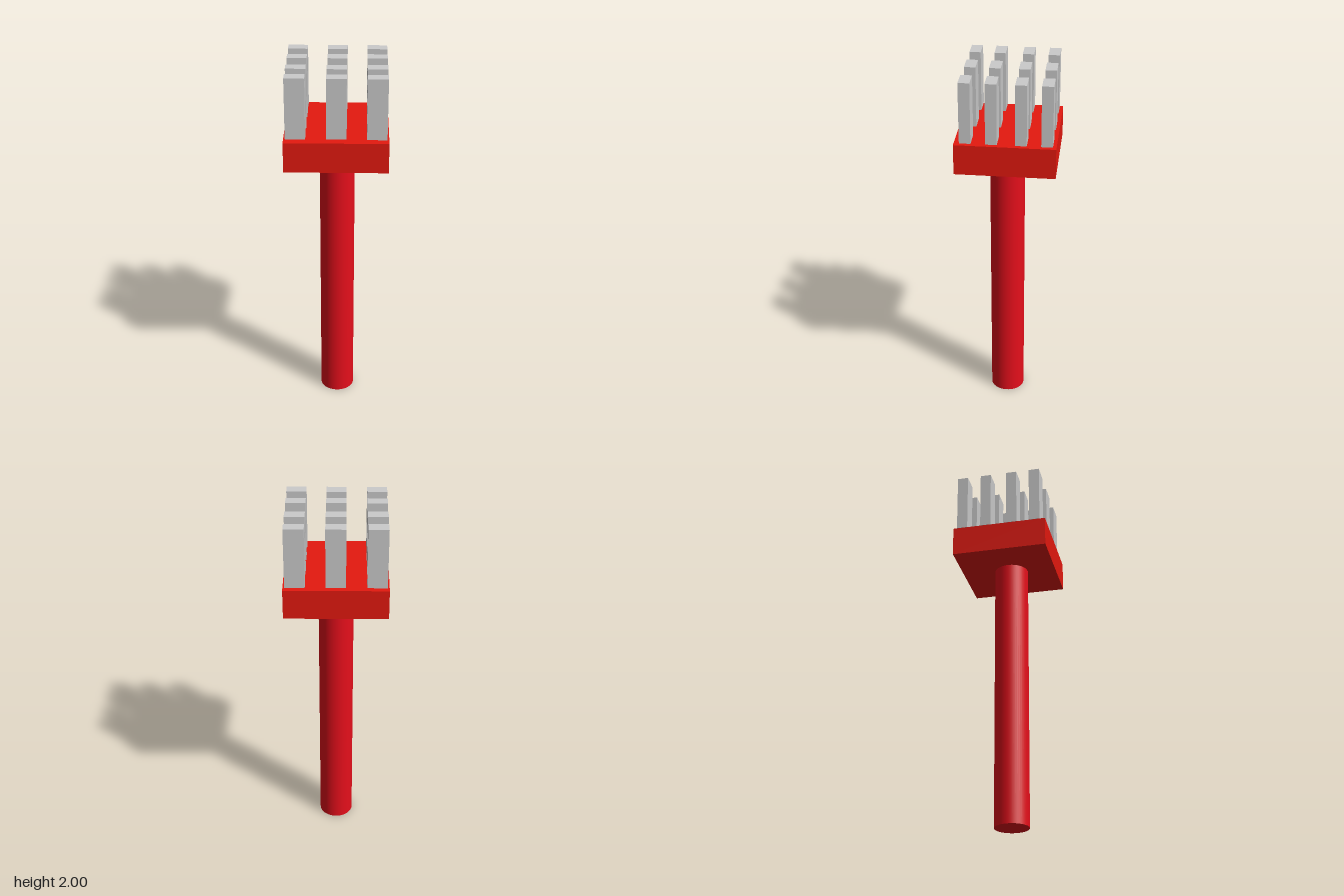
import * as THREE from 'three';

const headRed = new THREE.MeshStandardMaterial({ color: 0xe5190f });
const handleRed = new THREE.MeshStandardMaterial({ color: 0xe50f1b });
const grey = new THREE.MeshStandardMaterial({ color: 0xcccccc });

function addPart(parent, name, geometry, material, x, y, z) {
  const mesh = new THREE.Mesh(geometry, material);
  mesh.name = name;
  mesh.position.set(x, y, z);
  parent.add(mesh);
}

export function createModel() {
  const model = new THREE.Group();
  model.name = 'brush';

  // Round handle, slightly forward of the head's centre
  addPart(model, 'handle', new THREE.CylinderGeometry(0.093, 0.093, 1.498, 48), handleRed, 0.002, 0.749, 0.012);

  // Flat block that carries the bristles
  addPart(model, 'head', new THREE.BoxGeometry(0.538, 0.164, 0.522), headRed, 0, 1.584, 0);

  // Three columns of four bristles, with slightly uneven spacing
  const bristles = new THREE.Group();
  bristles.name = 'bristles';
  model.add(bristles);
  const bristle = new THREE.BoxGeometry(0.103, 0.327, 0.059);
  const columns = [
    { x: -0.208, rows: [-0.214, -0.08, 0.068, 0.199] },
    { x: 0.001, rows: [-0.214, -0.08, 0.071, 0.199] },
    { x: 0.208, rows: [-0.214, -0.082, 0.069, 0.202] },
  ];
  for (const { x, rows } of columns) {
    for (const z of rows) addPart(bristles, 'bristle', bristle, grey, x, 1.8365, z);
  }

  return model;
}
